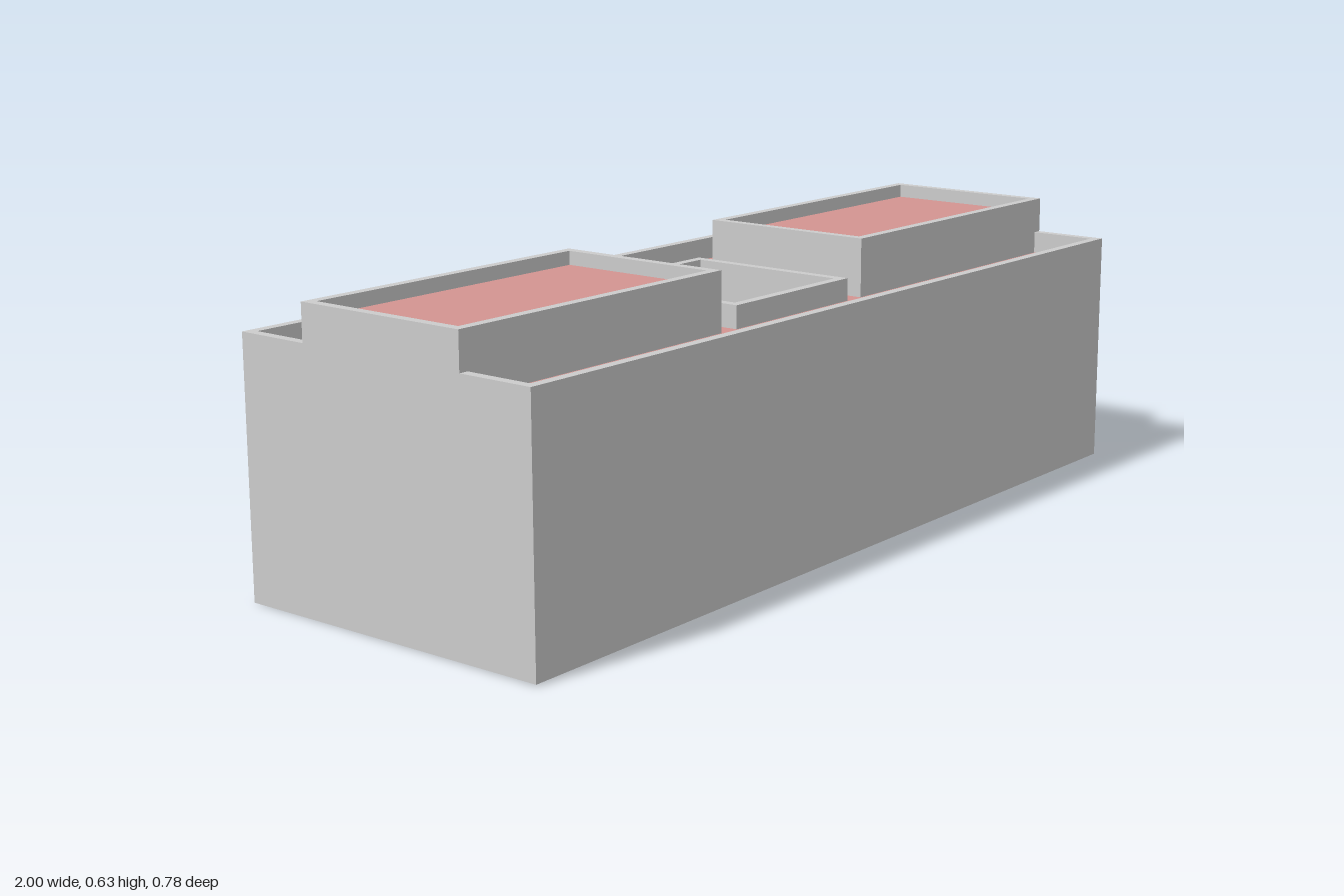
import * as THREE from 'three';

const grey = new THREE.MeshStandardMaterial({ color: 0xcccccc });
const greyThin = new THREE.MeshStandardMaterial({ color: 0xcccccc, side: THREE.DoubleSide });
const roofRed = new THREE.MeshStandardMaterial({ color: 0xd39491 });

const A = 0.996, B = 0.38;        // half length and half depth of the building
const T = 0.021;                  // wall thickness
const ROOF = 0.5, PARAPET = 0.55; // main roof deck and parapet heights
const BLOCK_Z = 0.207, BLOCK_X = 0.245;
const SHAFT = [-0.195, 0.195, -0.207, 0.207];

const inset = ([x0, x1, z0, z1], t) => [x0 + t, x1 - t, z0 + t, z1 - t];

// Rectangle [x0, x1, z0, z1] with an optional rectangular opening
function rectShape(rect, hole) {
  const points = ([x0, x1, z0, z1]) => [[x0, -z1], [x1, -z1], [x1, -z0], [x0, -z0]]
    .map(([x, y]) => new THREE.Vector2(x, y));
  const shape = new THREE.Shape(points(rect));
  if (hole) shape.holes.push(new THREE.Path(points(hole).reverse()));
  return shape;
}

// Upright prism between two heights
function prism(name, rect, hole, y0, y1) {
  const geo = new THREE.ExtrudeGeometry(rectShape(rect, hole), { depth: y1 - y0, bevelEnabled: false });
  geo.rotateX(-Math.PI / 2).translate(0, y0, 0);
  const mesh = new THREE.Mesh(geo, grey);
  mesh.name = name;
  return mesh;
}

// Flat roof covering
function deck(name, rect, hole, y) {
  const geo = new THREE.ShapeGeometry(rectShape(rect, hole));
  geo.rotateX(-Math.PI / 2).translate(0, y, 0);
  const mesh = new THREE.Mesh(geo, roofRed);
  mesh.name = name;
  return mesh;
}

// Thin skirt below the walls, its lower edge following the sloping ground
function skirt(top) {
  const corners = [[-A, B, 0.003], [A, B, 0.02], [A, -B, 0.016], [-A, -B, 0]];
  const pos = [];
  corners.forEach(([x, z, y], i) => {
    const [u, w, v] = corners[(i + 1) % 4];
    pos.push(x, y, z, u, v, w, u, top, w, x, y, z, u, top, w, x, top, z);
  });
  const geo = new THREE.BufferGeometry();
  geo.setAttribute('position', new THREE.Float32BufferAttribute(pos, 3));
  geo.computeVertexNormals();
  const mesh = new THREE.Mesh(geo, greyThin);
  mesh.name = 'groundSkirt';
  return mesh;
}

export function createModel() {
  const model = new THREE.Group();
  model.name = 'building';

  const outer = [-A, A, -B, B];
  const inner = inset(outer, T);
  const opening = inset(SHAFT, T);

  // Walls with parapet, open underneath
  model.add(prism('outerWalls', outer, inner, 0.1, PARAPET), skirt(0.1));

  // Roof slab pierced by the light shaft
  model.add(prism('roofSlab', inner, opening, 0.45, ROOF - 0.004));
  model.add(deck('mainRoof', inner, opening, ROOF));
  model.add(prism('shaftRim', SHAFT, opening, ROOF - 0.004, PARAPET));

  // Raised roof block at each end
  for (const side of [-1, 1]) {
    const rect = side > 0 ? [BLOCK_X, A, -BLOCK_Z, BLOCK_Z] : [-A, -BLOCK_X, -BLOCK_Z, BLOCK_Z];
    const name = side > 0 ? 'left' : 'right';
    model.add(prism(name + 'BlockWalls', rect, inset(rect, T), ROOF, 0.63));
    model.add(deck(name + 'BlockRoof', inset(rect, T), null, 0.6));
  }

  // The plan sits slightly askew
  model.rotation.y = -0.01;
  return model;
}
